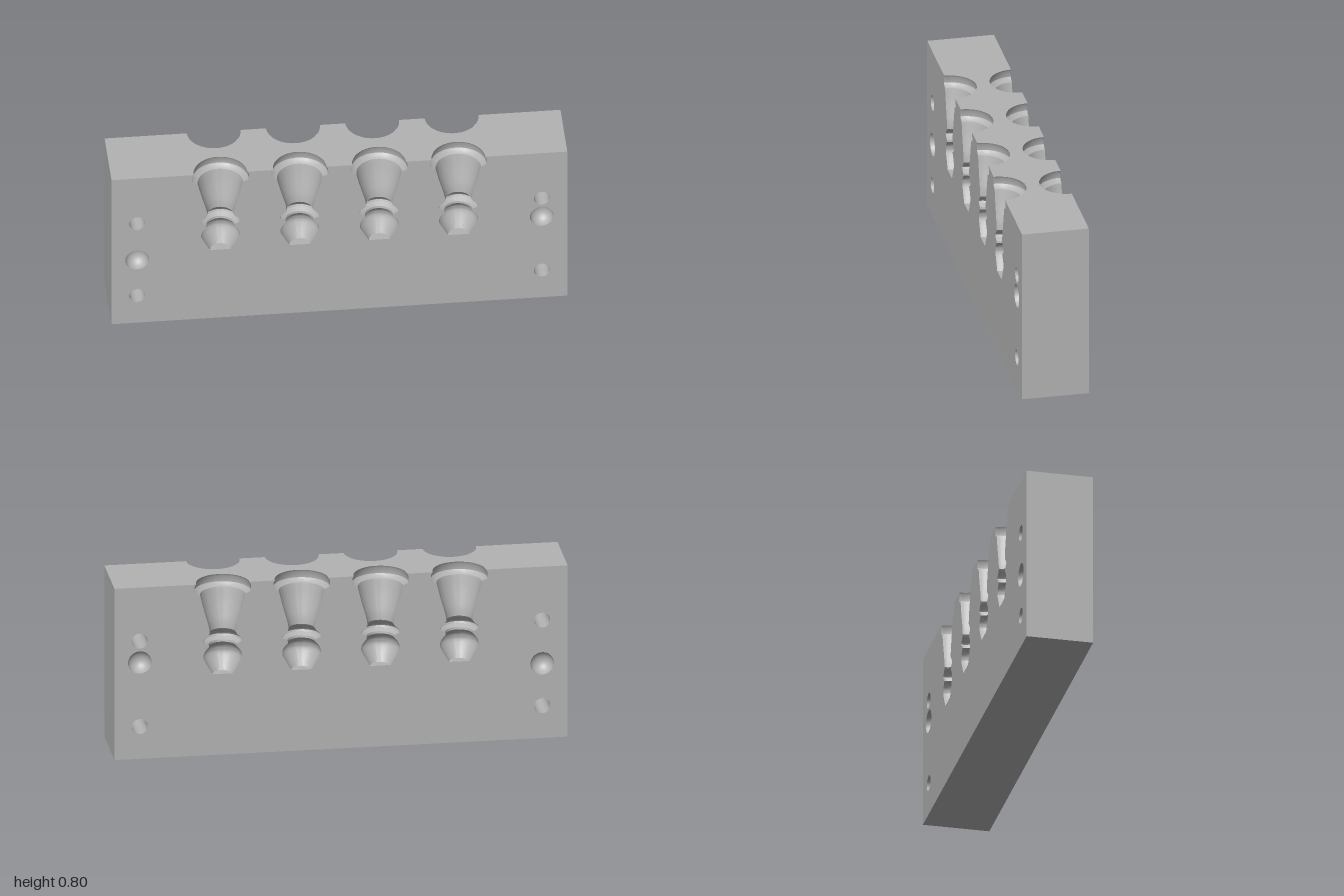
import * as THREE from 'three';
import { toCreasedNormals } from 'three/addons/utils/BufferGeometryUtils.js';

const W = 1, H = 0.797, T = 0.149;          // half width, height, half thickness
const CENTRES = [-0.522, -0.174, 0.174, 0.522];
const PIN_X = 0.888, PIN_R = 0.035, KEY_R = 0.052;
const PIN_Y = [0.15, 0.548], KEY_HIGH = 0.448, KEY_LOW = 0.347;

const v = (x, y) => new THREE.Vector2(x, y);

// Half outline of the cast piece, from its rim down to the flat tip
function cavityProfile() {
  const stem = new THREE.SplineCurve([
    v(0.098, 0.737), v(0.087, 0.69), v(0.073, 0.64), v(0.062, 0.6), v(0.057, 0.568),
  ]).getPoints(10);
  const bulb = new THREE.SplineCurve([
    v(0.06, 0.503), v(0.078, 0.482), v(0.085, 0.46), v(0.079, 0.437), v(0.045, 0.376),
  ]).getPoints(12);
  return [
    v(0.118, H), v(0.124, 0.787), v(0.125, 0.76), v(0.12, 0.753), v(0.1, 0.745),
    ...stem,
    v(0.064, 0.557), v(0.083, 0.54), v(0.087, 0.532), v(0.083, 0.524), v(0.062, 0.513),
    ...bulb,
  ];
}

export function createModel() {
  const model = new THREE.Group();
  model.name = 'castingMould';
  const grey = new THREE.MeshStandardMaterial({ color: 0xb3b3b3 });
  grey.name = 'mouldGrey';

  const add = (parent, name, geometry, x = 0, y = 0, z = 0) => {
    const mesh = new THREE.Mesh(geometry, grey);
    mesh.name = name;
    mesh.position.set(x, y, z);
    parent.add(mesh);
    return mesh;
  };

  const profile = cavityProfile();
  const rim = profile[0].x;

  // Broad face, notched by the cavities and pierced by pin holes and key sockets
  const face = new THREE.Shape([
    v(-W, 0), v(W, 0), v(W, H),
    ...[...CENTRES].reverse().flatMap((c) => [
      ...profile.map((p) => v(c + p.x, p.y)),
      ...[...profile].reverse().map((p) => v(c - p.x, p.y)),
    ]),
    v(-W, H),
  ]);
  const keys = [[-PIN_X, KEY_LOW], [PIN_X, KEY_HIGH]];
  const pins = [-PIN_X, PIN_X].flatMap((x) => PIN_Y.map((y) => [x, y]));
  const punch = (shape, x, y, r) =>
    shape.holes.push(new THREE.Path().absarc(x, y, r, 0, Math.PI * 2, true));
  pins.forEach(([x, y]) => punch(face, x, y, PIN_R));

  // Hollow surfaces: profiles run downward so they face the axis
  const cavity = toCreasedNormals(
    new THREE.LatheGeometry([...profile, v(0, 0.376)], 32, Math.PI / 2, Math.PI), 0.6);
  const bowl = Array.from({ length: 13 }, (_, i) => {
    const a = (i / 12) * Math.PI / 2;
    return v(KEY_R * Math.cos(a), -KEY_R * Math.sin(a));
  });
  const socket = new THREE.LatheGeometry(bowl, 32).rotateX(Math.PI / 2);
  const bore = new THREE.LatheGeometry([v(PIN_R, T), v(PIN_R, -T)], 32).rotateX(Math.PI / 2);

  // Both broad sides; the keys stay at the same place on either side
  for (const [name, sign] of [['frontSide', 1], ['backSide', -1]]) {
    const side = new THREE.Group();
    side.name = name;
    side.rotation.y = sign > 0 ? 0 : Math.PI;
    model.add(side);
    const shape = face.clone();
    keys.forEach(([x, y]) => {
      punch(shape, sign * x, y, KEY_R);
      add(side, 'keySocket', socket, sign * x, y, T);
    });
    add(side, 'mouldFace', new THREE.ShapeGeometry(shape, 16), 0, 0, T);
    CENTRES.forEach((c) => add(side, 'pieceCavity', cavity, c, 0, T));
  }

  pins.forEach(([x, y]) => add(model, 'pinHole', bore, x, y, 0));

  // Top with a half-round pouring mouth at every cavity
  const top = new THREE.Shape();
  top.moveTo(-W, -T);
  CENTRES.forEach((c) => {
    top.lineTo(c - rim, -T);
    top.absarc(c, -T, rim, Math.PI, 0, true);
  });
  top.lineTo(W, -T);
  top.lineTo(W, T);
  [...CENTRES].reverse().forEach((c) => {
    top.lineTo(c + rim, T);
    top.absarc(c, T, rim, 0, Math.PI, true);
  });
  top.lineTo(-W, T);
  add(model, 'topFace', new THREE.ShapeGeometry(top, 16).rotateX(-Math.PI / 2), 0, H, 0);

  // Underside and ends
  add(model, 'underside', new THREE.PlaneGeometry(2 * W, 2 * T).rotateX(Math.PI / 2));
  for (const s of [-1, 1]) {
    add(model, s > 0 ? 'leftEnd' : 'rightEnd',
      new THREE.PlaneGeometry(2 * T, H).rotateY(s * Math.PI / 2), s * W, H / 2, 0);
  }
  return model;
}
